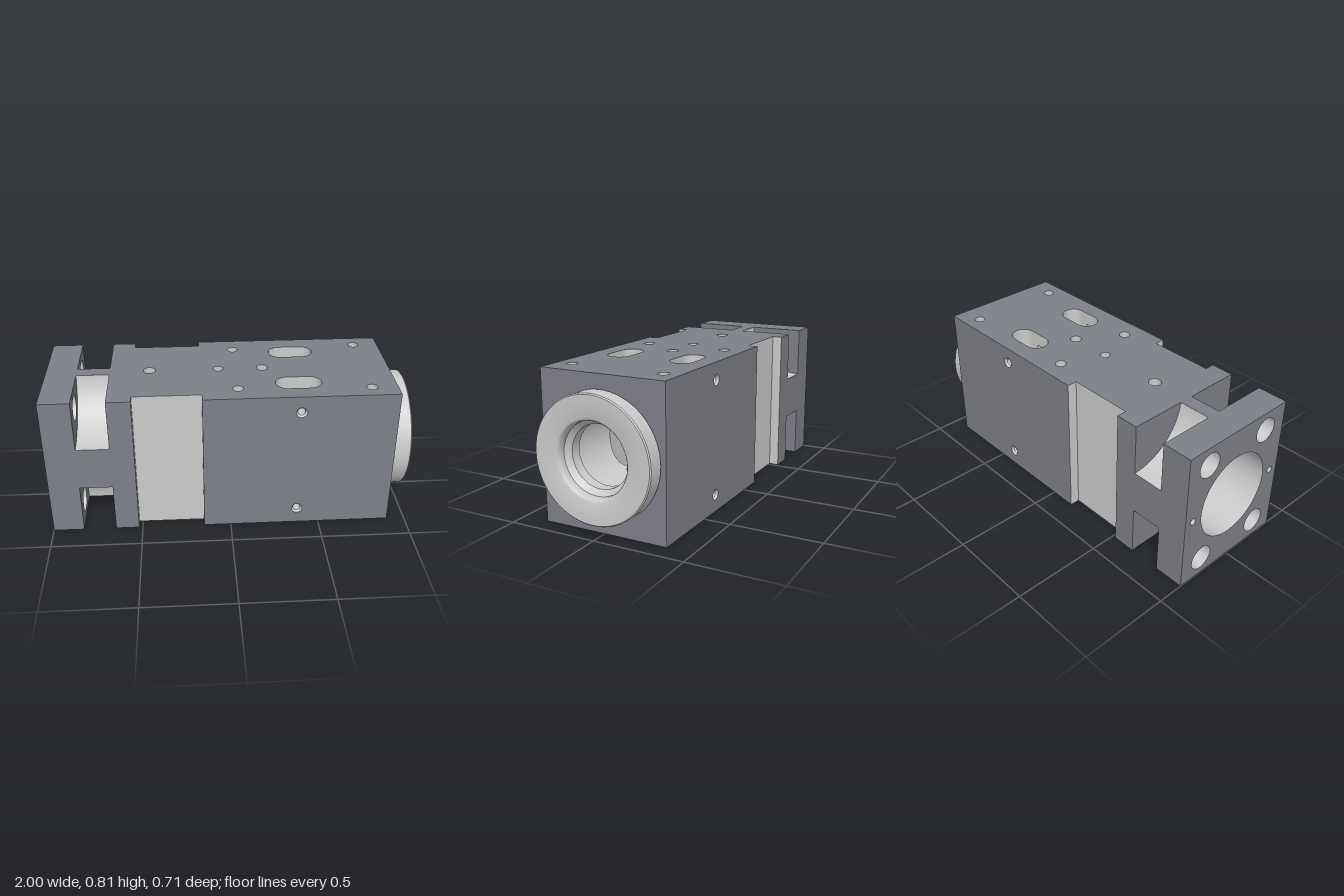
import * as THREE from 'three';
import { toCreasedNormals } from 'three/addons/utils/BufferGeometryUtils.js';
import { ParametricGeometry } from 'three/addons/geometries/ParametricGeometry.js';

const H = 0.813, C = H / 2, D = 0.355;          // height, axis height, half depth
const BORE = 0.24;                              // main bore radius
const SLOT = { x: 0.375, half: 0.06, z: 0.19, r: 0.065 };
const PIN = { x: 0.375, y: 0.312, r: 0.021 };   // cross holes, y from the axis
const POCKET = { x0: -0.83, x1: -0.65, r: 0.317, z: D, y: 0.44 };
const SIGNS = [-1, 1];

export function createModel() {
  const model = new THREE.Group();
  const dark = new THREE.MeshStandardMaterial({ color: 0x7e8088, side: THREE.DoubleSide });
  const light = new THREE.MeshStandardMaterial({ color: 0xcccccc, side: THREE.DoubleSide });

  const add = (name, geometry, material) => {
    const mesh = new THREE.Mesh(geometry, material);
    mesh.name = name;
    model.add(mesh);
    return mesh;
  };

  // Flat panel across one axis; holes are [u, v, radius] or ready-made paths.
  function panel(name, axis, pos, pts, holes = [], material = dark) {
    const shape = new THREE.Shape(pts.map(p => new THREE.Vector2(...p)));
    for (const h of holes) {
      shape.holes.push(Array.isArray(h) ? new THREE.Path().absarc(h[0], h[1], h[2], 0, Math.PI * 2, true) : h);
    }
    const g = new THREE.ShapeGeometry(shape, 24);
    const p = g.attributes.position;
    for (let i = 0; i < p.count; i++) {
      const u = p.getX(i), v = p.getY(i);
      if (axis === 'x') p.setXYZ(i, pos, v, u);
      else if (axis === 'y') p.setXYZ(i, u, pos, v);
      else p.setXYZ(i, u, v, pos);
    }
    g.computeVertexNormals();
    return add(name, g, material);
  }
  const rect = (a, b, c, d) => [[a, b], [c, b], [c, d], [a, d]];

  // Wall of a round hole between two points, with an optional floor.
  function lining(name, from, to, r, floor = false, rFrom = r) {
    const a = new THREE.Vector3(...from), b = new THREE.Vector3(...to);
    const dir = b.clone().sub(a), len = dir.length();
    const turn = new THREE.Quaternion().setFromUnitVectors(new THREE.Vector3(0, 1, 0), dir.normalize());
    const wall = add(name, new THREE.CylinderGeometry(r, rFrom, len, 32, 1, true), light);
    wall.quaternion.copy(turn);
    wall.position.copy(a).add(b).multiplyScalar(0.5);
    if (floor) {
      const disc = add(name + 'Floor', new THREE.CircleGeometry(r, 32).rotateX(-Math.PI / 2), light);
      disc.quaternion.copy(turn);
      disc.position.copy(b);
    }
  }

  // Surface of revolution about the bore axis; points are [radius, x].
  function turned(name, pts) {
    const g = new THREE.LatheGeometry(pts.map(p => new THREE.Vector2(...p)), 80);
    add(name, toCreasedNormals(g.rotateZ(-Math.PI / 2), 0.5), light).position.y = C;
  }
  const surface = (name, f, nu, nv, material = light) =>
    add(name, new ParametricGeometry((u, v, t) => t.set(...f(u, v)), nu, nv), material);

  // Front and back: notched flange section, recessed waist, main block
  const pinHoles = SIGNS.map(s => [PIN.x, C + s * PIN.y, 0.03]);
  const { x0, x1 } = POCKET, yLow = C - 0.123, yHigh = C + 0.123;
  for (const s of SIGNS) {
    panel('flangeSide', 'z', s * D, [[-1, 0], [x0, 0], [x0, yLow], [x1, yLow], [x1, 0], [-0.52, 0],
      [-0.52, H], [x1, H], [x1, yHigh], [x0, yHigh], [x0, H], [-1, H]]);
    panel('blockSide', 'z', s * D, rect(-0.15, 0, 0.9, H), pinHoles);
    panel('waistRecess', 'z', s * 0.3, rect(-0.52, 0, -0.15, H), [], light);
    for (const x of [-0.52, -0.15]) panel('recessWall', 'x', x, rect(s * 0.3, 0, s * D, H), [], light);
  }

  // Top and bottom with slots and screw holes
  const half = [[-1, D], [x0, D], [x0, 0.04], [x1, 0.04], [x1, D], [-0.52, D], [-0.52, 0.3],
    [-0.15, 0.3], [-0.15, D], [0.9, D]];
  const outline = [...half, ...half.map(([x, z]) => [x, -z]).reverse()];
  const slotPath = sz => {
    const path = new THREE.Path(), { x, half: h, z, r } = SLOT;
    path.absarc(x + h, sz * z, r, -Math.PI / 2, Math.PI / 2);
    path.absarc(x - h, sz * z, r, Math.PI / 2, Math.PI * 1.5);
    path.closePath();
    return path;
  };
  const corners = SIGNS.flatMap(s => [[0.045, s * 0.24, 0.03], [0.76, s * 0.265, 0.03]]);
  const centres = [[-0.43, 0, 0.034], [-0.05, 0, 0.028], [0.195, 0, 0.032]];
  for (const s of SIGNS) {
    const y = s > 0 ? H : 0;
    const holes = s > 0 ? [...corners, ...centres] : corners;
    panel(s > 0 ? 'topFace' : 'bottomFace', 'y', y, outline, [...holes, ...SIGNS.map(slotPath)]);
    for (const [x, z, r] of holes) lining('screwHole', [x, y, z], [x, y - s * 0.1, z], r, true);
  }

  // End faces
  const bolts = SIGNS.flatMap(a => SIGNS.map(b => [a * 0.21, C + b * 0.3, 0.07]));
  const dowels = SIGNS.map(s => [s * 0.3, C, 0.018]);
  panel('flangeFace', 'x', -1, rect(-D, 0, D, H), [[0, C, BORE], ...bolts, ...dowels]);
  panel('noseEndFace', 'x', 0.9, rect(-D, 0, D, H), [[0, C, 0.25]]);
  for (const [z, y, r] of bolts) lining('boltHole', [-1, y, z], [x0, y, z], r);
  for (const [z, y, r] of dowels) lining('dowelHole', [-1, y, z], [-0.9, y, z], r, true);

  // Four concave bolt pockets
  const arcEnd = -Math.PI + 0.107;
  const arc = (t, sz, sy) => {
    const a = THREE.MathUtils.lerp(-Math.PI / 2, arcEnd, t);
    return [sz * (POCKET.z + POCKET.r * Math.cos(a)), C + sy * (POCKET.y + POCKET.r * Math.sin(a))];
  };
  for (const sz of SIGNS) for (const sy of SIGNS) {
    surface('pocketCurve', (u, v) => {
      const [z, y] = arc(u, sz, sy);
      return [THREE.MathUtils.lerp(x0, x1, v), y, z];
    }, 24, 1);
    const pts = Array.from({ length: 25 }, (_, i) => arc(i / 24, sz, sy));
    pts.push([sz * D, C + sy * C]);
    panel('pocketFrontWall', 'x', x0, pts, [[sz * 0.21, C + sy * 0.3, 0.07]]);
    panel('pocketRearWall', 'x', x1, pts);
  }

  // Cross holes with a small countersink, interrupted by the slots
  const inner = SLOT.z - SLOT.r, outer = SLOT.z + SLOT.r;
  for (const sy of SIGNS) {
    const y = C + sy * PIN.y;
    lining('crossHole', [PIN.x, y, -inner], [PIN.x, y, inner], PIN.r);
    for (const s of SIGNS) {
      lining('countersink', [PIN.x, y, s * D], [PIN.x, y, s * (D - 0.012)], PIN.r, false, 0.03);
      lining('crossHole', [PIN.x, y, s * (D - 0.012)], [PIN.x, y, s * outer], PIN.r);
    }
  }

  // Slot walls running down into the bore
  const boreY = z => Math.sqrt(Math.max(0, BORE * BORE - z * z));
  for (const sy of SIGNS) for (const sz of SIGNS) {
    const { x, half: h, z: zc, r } = SLOT;
    for (const z of [inner, outer]) {
      panel('slotWall', 'z', sz * z, rect(x - h, C + sy * boreY(z), x + h, C + sy * C),
        [[PIN.x, C + sy * PIN.y, PIN.r]], light);
    }
    for (const e of SIGNS) {
      surface('slotEnd', (u, v) => {
        const a = (u - 0.5) * Math.PI, z = zc + r * Math.sin(a);
        return [x + e * (h + r * Math.cos(a)), C + sy * THREE.MathUtils.lerp(boreY(z), C, v), sz * z];
      }, 20, 1);
    }
  }

  // Bore through the slot region: the arcs left between the slots
  const span = SLOT.half + SLOT.r;
  const boreStrip = range => surface('slottedBore', (u, v) => {
    const dx = -span * Math.cos(Math.PI * u);
    const over = Math.max(0, Math.abs(dx) - SLOT.half);
    const w = Math.sqrt(Math.max(0, SLOT.r ** 2 - over ** 2));
    const lo = Math.asin((SLOT.z - w) / BORE), hi = Math.asin(Math.min(1, (SLOT.z + w) / BORE));
    const [a, b] = range(lo, hi), t = THREE.MathUtils.lerp(a, b, v);
    return [SLOT.x + dx, C + BORE * Math.cos(t), BORE * Math.sin(t)];
  }, 40, 16);
  boreStrip(lo => [-lo, lo]);
  boreStrip(lo => [Math.PI - lo, Math.PI + lo]);
  boreStrip((lo, hi) => [hi, Math.PI - hi]);
  boreStrip((lo, hi) => [-hi, hi - Math.PI]);

  // Plain bore, then the nose ring with its rounded mouth
  turned('bore', [[BORE, -1], [BORE, SLOT.x - span]]);
  turned('noseRing', [[BORE, SLOT.x + span], [BORE, 0.86], [0.165, 0.86], [0.165, 0.92], [0.192, 0.95],
    [0.192, 0.97], [0.195, 0.984], [0.203, 0.994], [0.218, 1], [0.325, 1], [0.331, 0.994],
    [0.331, 0.908], [0.325, 0.9], [0.24, 0.9]]);

  return model;
}
